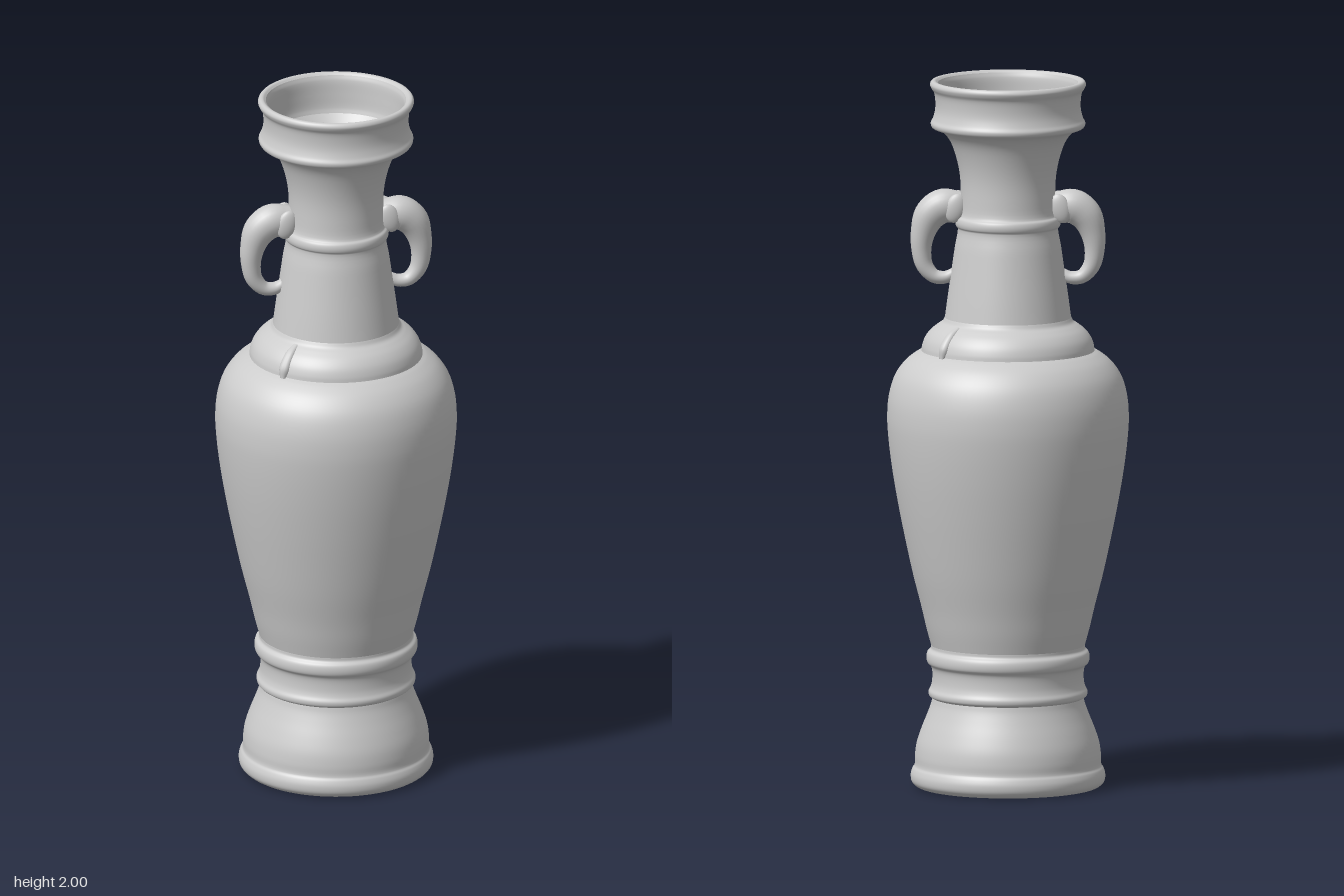
import * as THREE from 'three';

const material = new THREE.MeshStandardMaterial({ color: 0xcccccc });

function addMesh(parent, name, geometry) {
  const mesh = new THREE.Mesh(geometry, material);
  mesh.name = name;
  parent.add(mesh);
  return mesh;
}

// Turned section: smooth curve through [radius, y] pairs
function turned(pairs, smooth = true) {
  let pts = pairs.map(([r, y]) => new THREE.Vector2(r, y));
  if (smooth) {
    const curve = new THREE.CatmullRomCurve3(pts.map(p => new THREE.Vector3(p.x, p.y, 0)), false, 'centripetal');
    pts = curve.getPoints(pairs.length * 4).map(p => new THREE.Vector2(Math.max(p.x, 0), p.y));
  }
  return new THREE.LatheGeometry(pts, 96);
}

// Tube in the xy plane with elliptical sections; each key is [x, y, in-plane radius, z radius]
function taperedTube(keys, steps = 48, sides = 24) {
  const path = new THREE.CatmullRomCurve3(keys.map(k => new THREE.Vector3(k[0], k[1], 0)), false, 'centripetal');
  const radii = new THREE.CatmullRomCurve3(keys.map(k => new THREE.Vector3(k[2], k[3], 0)));
  const positions = [], index = [];
  for (let i = 0; i <= steps; i++) {
    const t = i / steps, p = path.getPoint(t), d = path.getTangent(t), r = radii.getPoint(t);
    for (let j = 0; j < sides; j++) {
      const a = (j / sides) * Math.PI * 2, u = Math.cos(a) * r.x;
      positions.push(p.x - d.y * u, p.y + d.x * u, Math.sin(a) * r.y);
      if (i < steps) {
        const k = (j + 1) % sides, b = i * sides, c = b + sides;
        index.push(b + j, b + k, c + j, b + k, c + k, c + j);
      }
    }
  }
  const geometry = new THREE.BufferGeometry();
  geometry.setAttribute('position', new THREE.Float32BufferAttribute(positions, 3));
  geometry.setIndex(index);
  geometry.computeVertexNormals();
  return geometry;
}

// Elephant-head handle on the +x side
function makeHandle(name) {
  const handle = new THREE.Group();
  handle.name = name;
  addMesh(handle, 'headAndTrunk', taperedTube([
    [0.11, 1.635, 0.042, 0.036], [0.15, 1.642, 0.046, 0.042], [0.185, 1.643, 0.049, 0.046],
    [0.218, 1.618, 0.046, 0.043], [0.238, 1.57, 0.035, 0.035], [0.243, 1.52, 0.028, 0.029],
    [0.234, 1.475, 0.024, 0.025], [0.207, 1.445, 0.02, 0.022], [0.175, 1.442, 0.018, 0.02],
    [0.15, 1.456, 0.014, 0.016], [0.135, 1.468, 0.002, 0.002],
  ]));
  for (const side of [1, -1]) {
    const ear = addMesh(handle, 'ear', new THREE.SphereGeometry(1, 24, 16));
    ear.scale.set(0.028, 0.042, 0.014);
    ear.position.set(0.147, 1.642, side * 0.036);
    ear.rotation.z = 0.25;
  }
  return handle;
}

export function createModel() {
  const vase = new THREE.Group();
  vase.name = 'vase';

  // Base: recessed underside and flared foot
  addMesh(vase, 'underside', turned([[0, 0.04], [0.205, 0.04], [0.222, 0.004]], false));
  addMesh(vase, 'foot', turned([
    [0.222, 0.004], [0.235, 0], [0.255, 0.002], [0.27, 0.015], [0.273, 0.035], [0.268, 0.052],
    [0.262, 0.062], [0.261, 0.09], [0.256, 0.125], [0.243, 0.165], [0.227, 0.205], [0.216, 0.235], [0.212, 0.252],
  ]));

  // Ringed waist
  addMesh(vase, 'waist', turned([
    [0.212, 0.252], [0.221, 0.258], [0.223, 0.27], [0.217, 0.283], [0.213, 0.3], [0.213, 0.33],
    [0.217, 0.343], [0.226, 0.352], [0.229, 0.366], [0.226, 0.382], [0.217, 0.392], [0.216, 0.402],
  ]));

  // Body
  addMesh(vase, 'body', turned([
    [0.216, 0.402], [0.229, 0.45], [0.243, 0.51], [0.266, 0.6], [0.288, 0.7], [0.308, 0.8], [0.325, 0.9],
    [0.336, 0.99], [0.339, 1.05], [0.334, 1.11], [0.317, 1.165], [0.288, 1.205], [0.258, 1.228], [0.243, 1.236],
  ]));

  // Raised shoulder band
  addMesh(vase, 'shoulderBand', turned([
    [0.243, 1.236], [0.241, 1.25], [0.233, 1.272], [0.217, 1.293], [0.198, 1.308], [0.184, 1.318], [0.177, 1.33],
  ]));
  for (const turn of [0, Math.PI]) {
    const fold = new THREE.Group();
    fold.name = 'shoulderFold';
    fold.rotation.y = turn + 0.73;
    addMesh(fold, 'ridge', taperedTube([
      [0.185, 1.315, 0.004, 0.008], [0.213, 1.294, 0.01, 0.014],
      [0.236, 1.26, 0.014, 0.016], [0.246, 1.232, 0.006, 0.008],
    ], 16, 12));
    vase.add(fold);
  }

  // Neck with a thin collar ring
  addMesh(vase, 'neck', turned([
    [0.177, 1.33], [0.169, 1.39], [0.159, 1.46], [0.149, 1.53], [0.141, 1.582], [0.146, 1.589], [0.148, 1.6],
    [0.145, 1.612], [0.137, 1.62], [0.133, 1.67], [0.135, 1.73], [0.146, 1.785], [0.163, 1.83], [0.183, 1.855],
    [0.204, 1.864],
  ]));

  // Cupped rim
  addMesh(vase, 'rim', turned([
    [0.204, 1.864], [0.214, 1.869], [0.217, 1.88], [0.211, 1.893], [0.205, 1.915], [0.204, 1.94], [0.208, 1.967],
    [0.216, 1.98], [0.219, 1.99], [0.214, 1.999], [0.205, 2], [0.197, 1.994],
  ]));

  // Inside of the mouth and throat
  addMesh(vase, 'mouthWall', turned([[0.197, 1.994], [0.192, 1.98], [0.19, 1.94], [0.188, 1.9], [0.184, 1.885]]));
  addMesh(vase, 'throat', turned([
    [0.184, 1.885], [0.165, 1.86], [0.14, 1.82], [0.118, 1.765], [0.102, 1.7], [0.086, 1.64], [0.067, 1.59],
  ]));
  addMesh(vase, 'throatFloor', turned([[0.067, 1.59], [0, 1.588]], false));

  // Handles on both sides
  vase.add(makeHandle('leftHandle'));
  const rightHandle = makeHandle('rightHandle');
  rightHandle.rotation.y = Math.PI;
  vase.add(rightHandle);

  return vase;
}
